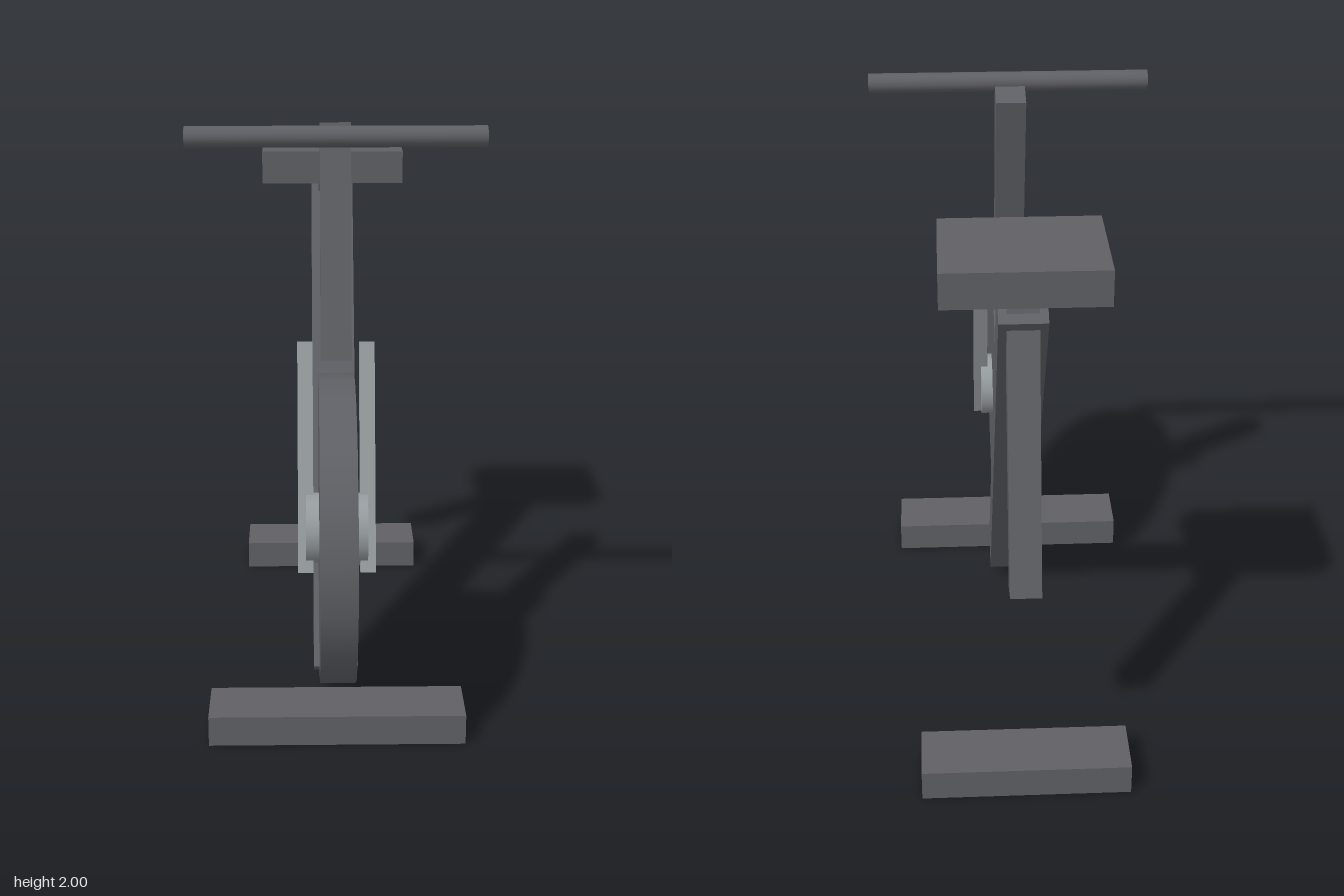
import * as THREE from 'three';

export function createModel() {
  const model = new THREE.Group();
  const dark = new THREE.MeshStandardMaterial({ color: 0x5f6065 });
  dark.name = 'dark grey';
  const light = new THREE.MeshStandardMaterial({ color: 0x969c9f });
  light.name = 'light grey';

  const add = (name, geometry, material, x, y, z, tilt = 0) => {
    const mesh = new THREE.Mesh(geometry, material);
    mesh.name = name;
    mesh.position.set(x, y, z);
    mesh.rotation.x = tilt;
    model.add(mesh);
    return mesh;
  };
  const box = (w, h, d) => new THREE.BoxGeometry(w, h, d);
  // Cylinder lying along x, with a corner at the top
  const axle = (r, length, sides) =>
    new THREE.CylinderGeometry(r, r, length, sides).rotateY(Math.PI / 2).rotateZ(Math.PI / 2);

  // Floor bars
  add('frontFoot', box(0.85, 0.104, 0.205), dark, 0, 0.052, 0.548);
  add('rearFoot', box(0.68, 0.104, 0.205), dark, 0, 0.052, -0.895);

  // Frame and seat
  add('mainFrame', box(0.152, 1.772, 0.148), dark, 0, 0.848, -0.178, -0.55);
  add('rearStrut', box(0.1, 1.01, 0.1), dark, 0, 1.186, -0.723, 0.25);
  add('seat', box(0.505, 0.115, 0.403), dark, 0, 1.73, -0.62);

  // Handlebar and its post
  add('handlebarPost', box(0.1, 0.76, 0.1), dark, 0, 1.61, 0.261, -0.25);
  add('handlebar', axle(0.034, 0.947, 12), dark, 0, 1.966, 0.343);

  // Flywheel, hub and fork
  add('flywheel', axle(0.505, 0.115, 18), dark, 0, 0.715, 0.5);
  add('hub', axle(0.114, 0.2, 14), light, 0, 0.715, 0.5);
  for (const side of [-1, 1]) {
    add(side > 0 ? 'leftFork' : 'rightFork', box(0.05, 0.75, 0.051), light,
      side * 0.101, 0.935, 0.431, -0.35);
  }
  return model;
}
